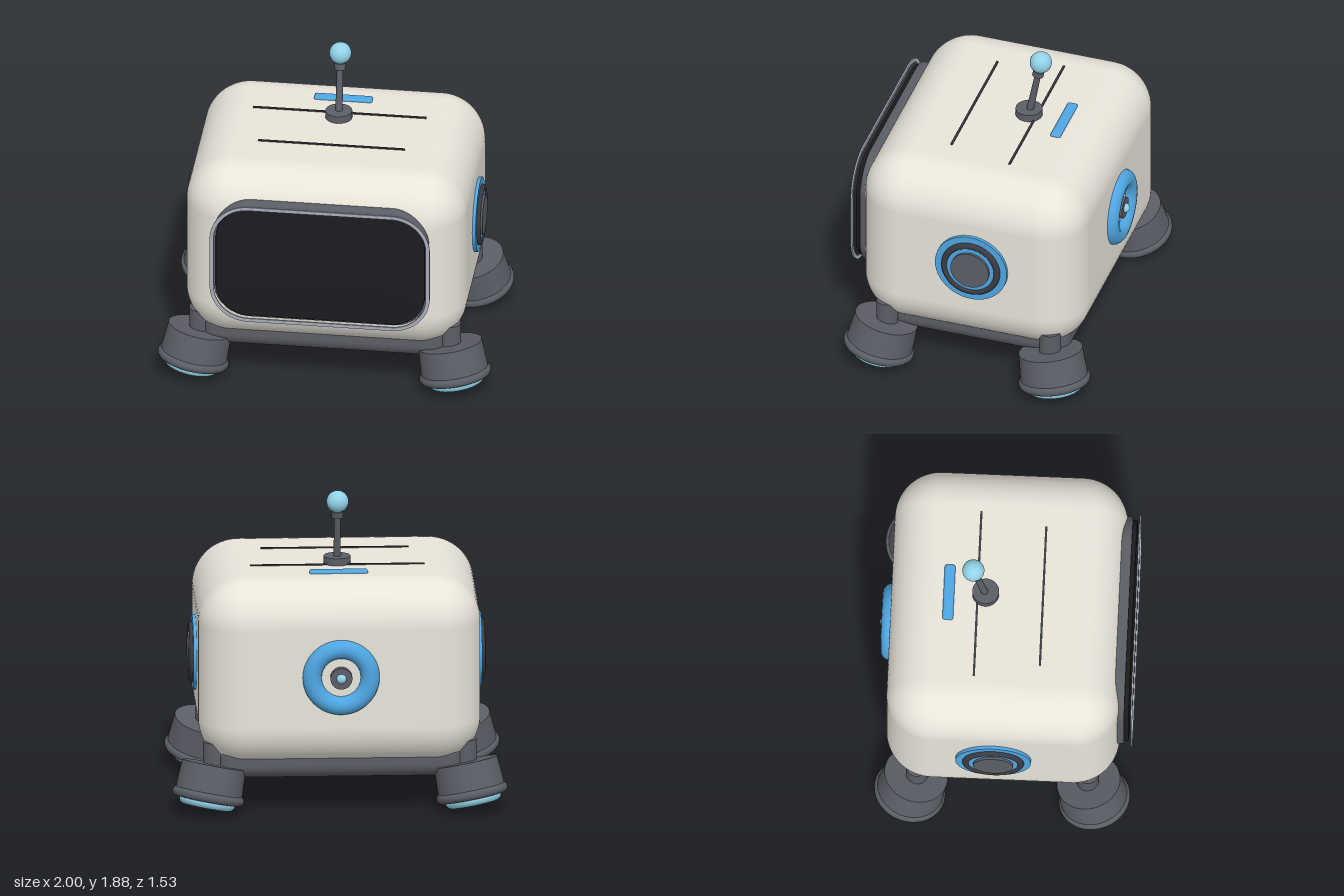
import * as THREE from 'three';
import { RoundedBoxGeometry } from 'three/addons/geometries/RoundedBoxGeometry.js';
import { toCreasedNormals } from 'three/addons/utils/BufferGeometryUtils.js';

const mat = (color) => new THREE.MeshStandardMaterial({ color });
const shell = mat(0xe8e4da), dark = mat(0x5c5e66), black = mat(0x1c1b20), trimDark = mat(0x3a3b42);
const blue = mat(0x4fa6e2), glow = mat(0x92d3e8), lens = mat(0x6d98a6), silver = mat(0xa9aebb);

function add(parent, name, geometry, material, x = 0, y = 0, z = 0) {
  const mesh = new THREE.Mesh(geometry, material);
  mesh.name = name;
  mesh.position.set(x, y, z);
  parent.add(mesh);
  return mesh;
}

function group(parent, name, x = 0, y = 0, z = 0) {
  const g = new THREE.Group();
  g.name = name;
  g.position.set(x, y, z);
  parent.add(g);
  return g;
}

const cyl = (rTop, rBottom, h) => new THREE.CylinderGeometry(rTop, rBottom, h, 48);
// Torus lying flat, axis along y
const ring = (r, tube) => new THREE.TorusGeometry(r, tube, 16, 64).rotateX(Math.PI / 2);

// Rounded rectangle from half sizes and corner radius
function roundedRect(w, h, r, Type = THREE.Shape) {
  const s = new Type();
  s.absarc(w - r, h - r, r, 0, Math.PI / 2);
  s.absarc(-w + r, h - r, r, Math.PI / 2, Math.PI);
  s.absarc(-w + r, -h + r, r, Math.PI, Math.PI * 1.5);
  s.absarc(w - r, -h + r, r, Math.PI * 1.5, Math.PI * 2);
  s.closePath();
  return s;
}

function slab(shape, depth, bevel) {
  const g = new THREE.ExtrudeGeometry(shape, {
    depth: depth - 2 * bevel, curveSegments: 16, bevelEnabled: bevel > 0,
    bevelThickness: bevel, bevelSize: bevel, bevelOffset: -bevel, bevelSegments: 4,
  });
  g.translate(0, 0, bevel);
  return toCreasedNormals(g, 0.6);
}

function addScreen(root) {
  const g = group(root, 'screen', 0, 0.897, 0);
  add(g, 'screenFrame', slab(roundedRect(0.645, 0.387, 0.22), 0.075, 0.015), dark, 0, 0, 0.64);
  add(g, 'screenPanel', slab(roundedRect(0.627, 0.362, 0.2), 0.06, 0.006), black, 0, 0, 0.682);
  const rim = roundedRect(0.66, 0.392, 0.23);
  rim.holes.push(roundedRect(0.637, 0.37, 0.208, THREE.Path));
  add(g, 'screenRim', slab(rim, 0.01, 0), silver, 0, 0, 0.754);
}

// Round port on each flank, built along y and turned outward
function addSidePort(root, side) {
  const g = group(root, side > 0 ? 'leftPort' : 'rightPort', side * 0.84, 0.87, -0.055);
  g.rotation.z = -side * Math.PI / 2;
  add(g, 'portPlate', cyl(0.225, 0.225, 0.04), blue);
  add(g, 'portRing', ring(0.164, 0.02), trimDark, 0, 0.022, 0);
  add(g, 'portInnerPlate', cyl(0.15, 0.15, 0.04), blue, 0, 0.012, 0);
  add(g, 'portCap', cyl(0.12, 0.12, 0.05), dark, 0, 0.022, 0);
}

function addBackPort(root) {
  const g = group(root, 'backPort', 0, 0.875, -0.7);
  g.rotation.x = -Math.PI / 2;
  add(g, 'backRing', ring(0.173, 0.057), blue);
  add(g, 'backKnob', cyl(0.065, 0.065, 0.06), dark, 0, 0.01, 0);
  add(g, 'backLight', new THREE.SphereGeometry(0.03, 24, 16), glow, 0, 0.037, 0);
}

function addAntenna(root) {
  add(root, 'antennaBase', cyl(0.08, 0.08, 0.06), dark, 0, 1.445, -0.137);
  const g = group(root, 'antenna', 0, 1.45, -0.14);
  g.rotation.x = -0.185;
  add(g, 'antennaRod', cyl(0.018, 0.022, 0.34), dark, 0, 0.17, 0);
  add(g, 'antennaCollar', cyl(0.034, 0.034, 0.04), dark, 0, 0.303, 0);
  add(g, 'antennaBall', new THREE.SphereGeometry(0.066, 32, 24), glow, 0, 0.384, 0);
}

// Leg post with a thruster foot splayed outward
function addLeg(root, sx, sz) {
  const name = (sz > 0 ? 'front' : 'back') + (sx > 0 ? 'Left' : 'Right') + 'Leg';
  const z = sz > 0 ? 0.545 : -0.555;
  const leg = group(root, name, sx * 0.786, 0.115, z);
  add(leg, 'legPost', cyl(0.065, 0.065, 0.21), dark, -sx * 0.037, 0.22, -sz * 0.04);
  const foot = group(leg, 'foot');
  const axis = new THREE.Vector3(-sx * 0.2, 1, -sz * 0.2).normalize();
  foot.quaternion.setFromUnitVectors(new THREE.Vector3(0, 1, 0), axis);
  add(foot, 'footHousing', cyl(0.192, 0.203, 0.19), dark, 0, 0.095, 0);
  add(foot, 'footFlange', ring(0.186, 0.03), dark);
  add(foot, 'footSole', cyl(0.185, 0.175, 0.04), trimDark, 0, -0.01, 0);
  add(foot, 'footGlowRing', ring(0.133, 0.036), glow, 0, -0.034, 0);
  add(foot, 'footLens', cyl(0.1, 0.1, 0.02), lens, 0, -0.03, 0);
}

export function createModel() {
  const root = new THREE.Group();
  root.name = 'robot';

  // Body and underside
  add(root, 'body', new RoundedBoxGeometry(1.68, 1.145, 1.39, 10, 0.275), shell, 0, 0.8575, -0.008);
  add(root, 'base', new RoundedBoxGeometry(1.46, 0.22, 1.2, 6, 0.09), dark, 0, 0.33, -0.008);

  // Roof details
  add(root, 'roofSeamFront', new THREE.BoxGeometry(0.88, 0.014, 0.013), trimDark, 0, 1.43, 0.205);
  add(root, 'roofSeamBack', new THREE.BoxGeometry(1.04, 0.014, 0.013), trimDark, 0, 1.43, -0.185);
  add(root, 'roofLight', new RoundedBoxGeometry(0.348, 0.036, 0.064, 4, 0.014), blue, 0, 1.428, -0.356);

  addScreen(root);
  addBackPort(root);
  addAntenna(root);
  for (const sx of [-1, 1]) {
    addSidePort(root, sx);
    for (const sz of [-1, 1]) addLeg(root, sx, sz);
  }
  return root;
}
